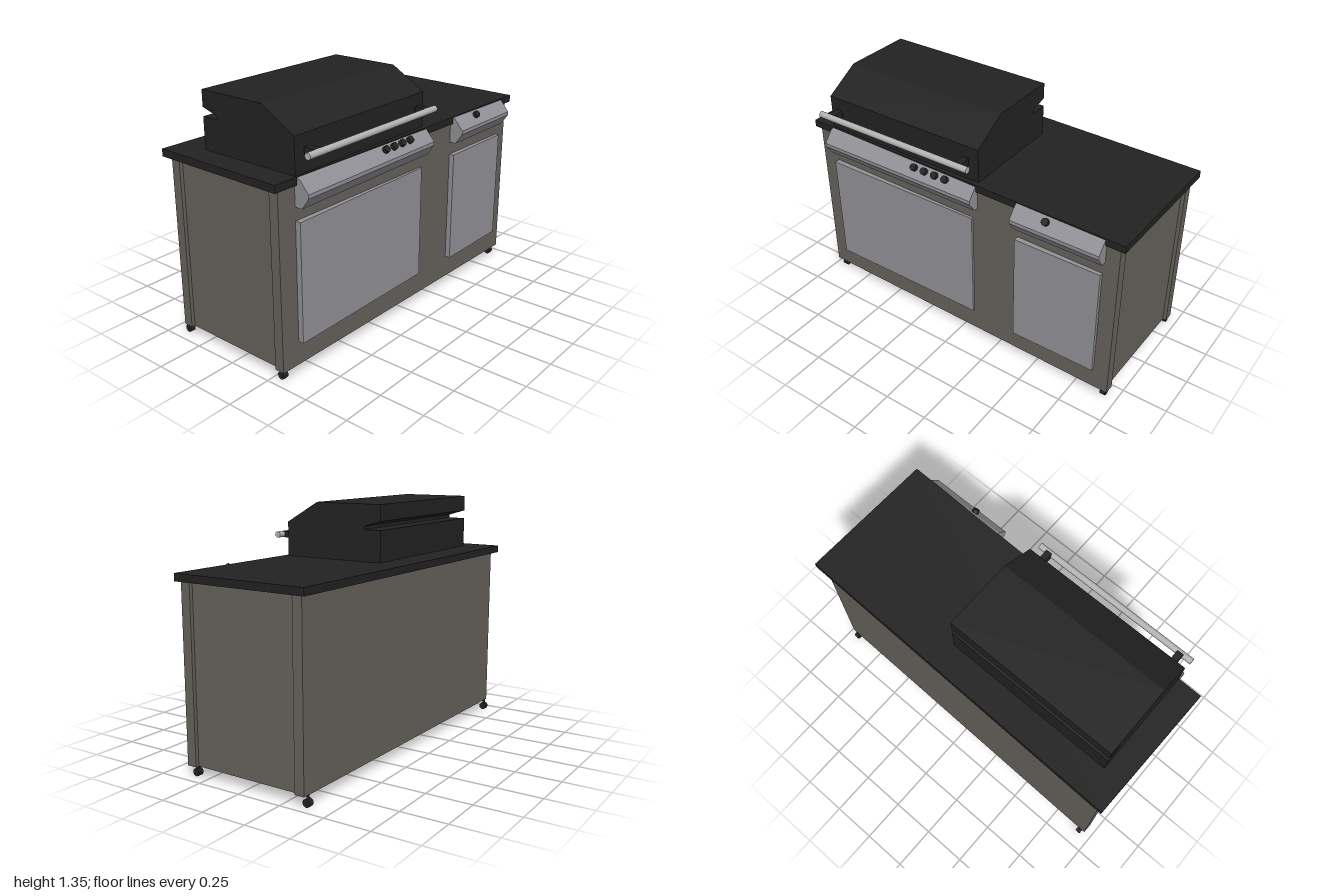
import * as THREE from 'three';

const mat = (name, color) => {
  const m = new THREE.MeshStandardMaterial({ color });
  m.name = name;
  return m;
};

export function createModel() {
  const body = mat('warm grey cabinet', 0x66625c);
  const steel = mat('grey steel', 0x929197);
  const black = mat('black', 0x222222);
  const chrome = mat('bright handle', 0xb2b4b1);

  const root = new THREE.Group();
  root.name = 'outdoorKitchen';

  const add = (parent, name, geometry, material, x = 0, y = 0, z = 0) => {
    const m = new THREE.Mesh(geometry, material);
    m.name = name;
    m.position.set(x, y, z);
    parent.add(m);
    return m;
  };
  // Box given by its limits on each axis
  const box = (parent, name, material, x0, x1, y0, y1, z0, z1) =>
    add(parent, name, new THREE.BoxGeometry(x1 - x0, y1 - y0, z1 - z0), material,
      (x0 + x1) / 2, (y0 + y1) / 2, (z0 + z1) / 2);
  // Side profile in x, y drawn out along z
  const profile = (name, material, points, z0, z1) => {
    const shape = new THREE.Shape(points.map(([x, y]) => new THREE.Vector2(x, y)));
    const g = new THREE.ExtrudeGeometry(shape, { depth: z1 - z0, bevelEnabled: false });
    return add(root, name, g, material, 0, 0, z0);
  };

  // Cabinet and countertop stand at a slight angle to the fittings
  const cabinet = new THREE.Group();
  cabinet.name = 'cabinet';
  cabinet.position.x = -0.029;
  cabinet.rotation.y = -0.0177;
  root.add(cabinet);

  box(cabinet, 'countertop', black, -0.3925, 0.3925, 1.0, 1.04, -0.9925, 0.9925);
  const x0 = -0.358, x1 = 0.377, end = 0.963, recess = 0.02, post = 0.055;
  box(cabinet, 'cabinetBody', body, x0, x1, 0.057, 1.0, -end + recess, end - recess);
  for (const s of [-1, 1]) {
    const za = Math.min(s * end, s * (end - recess)), zb = za + recess;
    // Corner posts framing the recessed end panels
    box(cabinet, 'cornerPost', body, x0, x0 + post, 0.057, 1.0, za, zb);
    box(cabinet, 'cornerPost', body, x1 - post, x1, 0.057, 1.0, za, zb);
    // Casters
    for (const x of [-0.356, 0.34]) {
      const wheel = add(cabinet, 'casterWheel', new THREE.CylinderGeometry(0.021, 0.021, 0.03, 20), black, x, 0.021, s * 0.93);
      wheel.rotation.x = Math.PI / 2;
      add(cabinet, 'casterStem', new THREE.CylinderGeometry(0.008, 0.008, 0.026, 12), black, x, 0.046, s * 0.93);
    }
  }

  // Grill hood with the slot at the back
  profile('grillHood', black, [
    [-0.262, 1.03], [0.338, 1.03], [0.338, 1.23], [0.14, 1.345], [-0.262, 1.345],
    [-0.262, 1.257], [-0.163, 1.228], [-0.163, 1.21], [-0.262, 1.21],
  ], -0.13, 0.86);

  // Hood handle and its brackets
  const handle = add(root, 'hoodHandle', new THREE.CylinderGeometry(0.0175, 0.0175, 0.985, 20), chrome, 0.418, 1.153, 0.3695);
  handle.rotation.x = Math.PI / 2;
  for (const z of [-0.06, 0.79]) {
    box(root, 'handleBracket', black, 0.35, 0.415, 1.135, 1.17, z - 0.019, z + 0.019);
  }

  // Sloped control panels, knobs and doors
  const units = [
    { front: 0.418, panel: [-0.13, 0.86], door: [-0.1, 0.86], doorFront: 0.363, knobs: [0.048, 0.115, 0.183, 0.25] },
    { front: 0.434, panel: [-0.88, -0.38], door: [-0.87, -0.38], doorFront: 0.384, knobs: [-0.568] },
  ];
  for (const u of units) {
    const f = u.front;
    profile('controlPanel', steel, [
      [f - 0.1, 0.89], [f - 0.042, 0.89], [f, 0.95], [f, 0.97],
      [f - 0.053, 1.032], [f - 0.073, 1.039], [f - 0.1, 1.039],
    ], ...u.panel);
    box(root, 'door', steel, 0.33, u.doorFront, 0.185, 0.82, ...u.door);
    for (const z of u.knobs) {
      const knob = add(root, 'knob', new THREE.CylinderGeometry(0.019, 0.019, 0.026, 20), black, f - 0.031, 1.018, z);
      knob.rotation.z = -0.86;
    }
  }
  return root;
}
